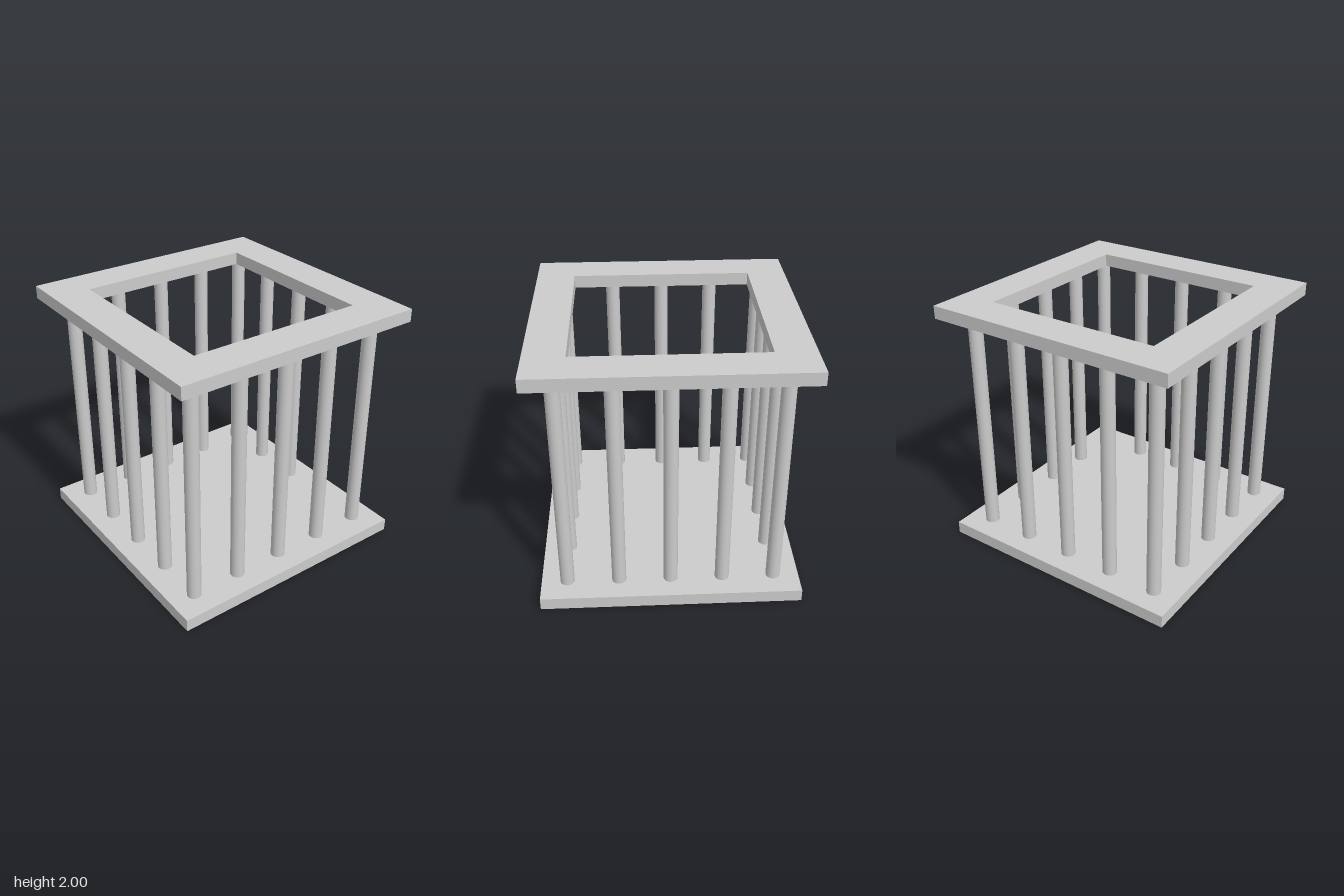
import * as THREE from 'three';

const SIZE = 2, THICK = 0.1, HOLE = 0.7, BAR_RADIUS = 0.055, SPACING = 0.4;

export function createModel() {
  const model = new THREE.Group();
  model.name = 'cage';
  const material = new THREE.MeshStandardMaterial({ color: 0xcccccc });

  const add = (name, geometry, x, y, z, parent = model) => {
    const mesh = new THREE.Mesh(geometry, material);
    mesh.name = name;
    mesh.position.set(x, y, z);
    parent.add(mesh);
    return mesh;
  };

  // Solid floor slab
  add('base', new THREE.BoxGeometry(SIZE, THICK, SIZE), 0, THICK / 2, 0);

  // Top frame: square slab with a square opening
  const square = (Type, h) => new Type([
    new THREE.Vector2(-h, -h), new THREE.Vector2(h, -h),
    new THREE.Vector2(h, h), new THREE.Vector2(-h, h),
  ]);
  const outline = square(THREE.Shape, SIZE / 2);
  outline.holes.push(square(THREE.Path, HOLE));
  const frame = new THREE.ExtrudeGeometry(outline, { depth: THICK, bevelEnabled: false });
  frame.rotateX(-Math.PI / 2);
  add('topFrame', frame, 0, SIZE - THICK, 0);

  // Round bars around the perimeter, five to a side with shared corners
  const bars = new THREE.Group();
  bars.name = 'bars';
  model.add(bars);
  const bar = new THREE.CylinderGeometry(BAR_RADIUS, BAR_RADIUS, SIZE - 2 * THICK, 32);
  for (let i = -2; i <= 2; i++) {
    for (let j = -2; j <= 2; j++) {
      if (Math.max(Math.abs(i), Math.abs(j)) < 2) continue;
      add('bar', bar, i * SPACING, SIZE / 2, j * SPACING, bars);
    }
  }
  return model;
}
